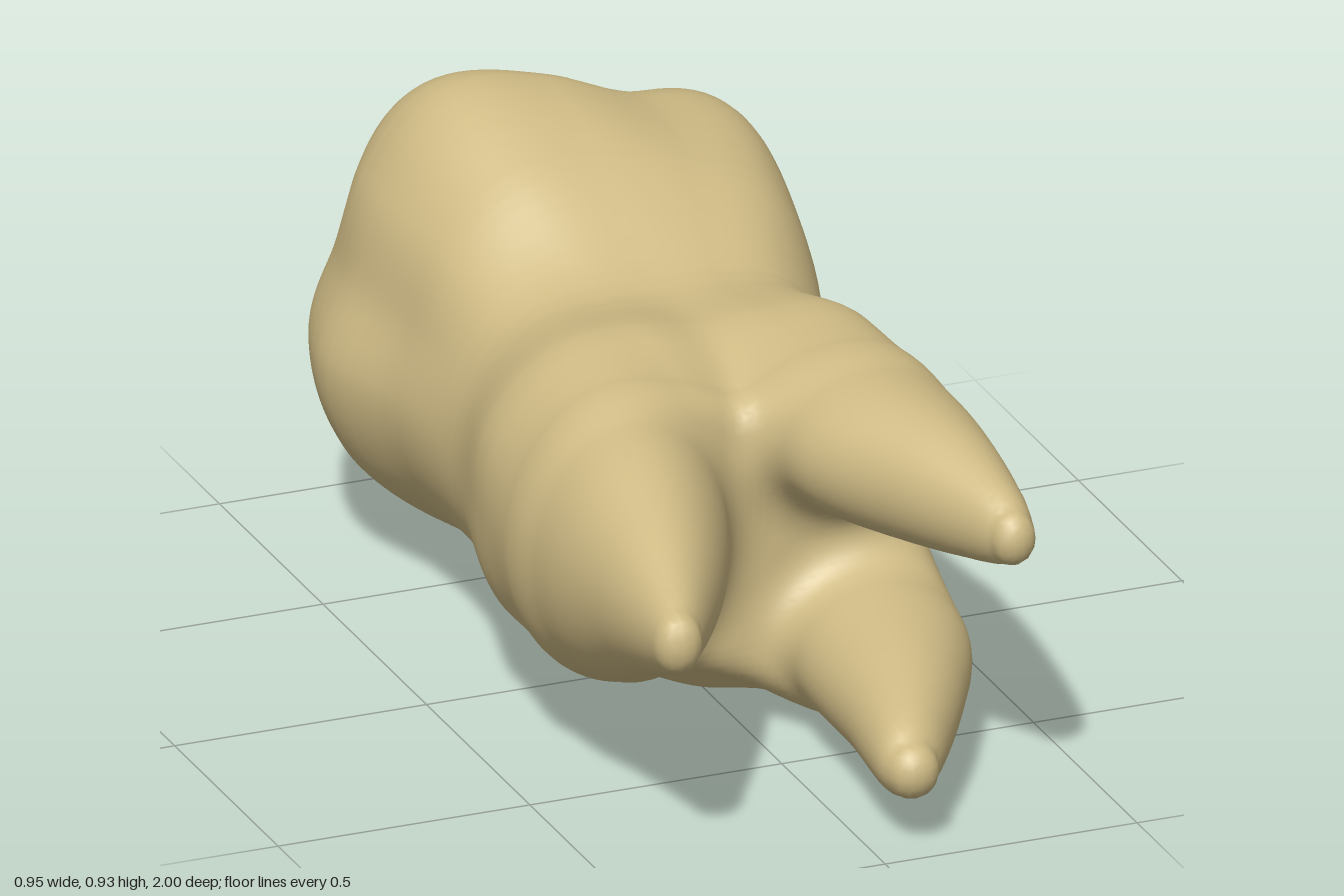
import * as THREE from 'three';

const CY = 0.42; // height of the long axis
const CELL = 0.02; // spacing of the sampling grid

// Smooth union and smooth intersection of two distances
function smoothMin(a, b, k) {
  const h = Math.max(k - Math.abs(a - b), 0) / k;
  return Math.min(a, b) - (h * h * k) / 4;
}
const smoothMax = (a, b, k) => -smoothMin(-a, -b, k);

// Catmull-Rom interpolation between four numbers
function spline(p0, p1, p2, p3, t) {
  const m1 = (p2 - p0) / 2, m2 = (p3 - p1) / 2, t2 = t * t, t3 = t2 * t;
  return (2 * t3 - 3 * t2 + 1) * p1 + (t3 - 2 * t2 + t) * m1 + (3 * t2 - 2 * t3) * p2 + (t3 - t2) * m2;
}

// Refine rows of numbers into smooth intermediate rows
function smoothRows(rows, steps = 8) {
  const out = [], row = (i) => rows[Math.min(rows.length - 1, Math.max(0, i))];
  for (let i = 0; i < rows.length - 1; i++) {
    for (let s = 0; s < steps; s++) {
      out.push(rows[i].map((v, k) => spline(row(i - 1)[k], v, row(i + 1)[k], row(i + 2)[k], s / steps)));
    }
  }
  out.push(rows[rows.length - 1]);
  return out;
}

// The two rows on either side of z, and the fraction between them
function bracket(rows, z) {
  let i = 0;
  while (i < rows.length - 2 && rows[i + 1][0] < z) i++;
  const t = (z - rows[i][0]) / (rows[i + 1][0] - rows[i][0]);
  return [rows[i], rows[i + 1], Math.min(1, Math.max(0, t))];
}

// Crown and trunk sections: z, then radii every 22.5 degrees starting at +x
const BODY = smoothRows([
  [-0.88, 0.435, 0.46, 0.475, 0.43, 0.455, 0.49, 0.44, 0.37, 0.375, 0.365, 0.365, 0.37, 0.395, 0.435, 0.46, 0.43],
  [-0.63, 0.467, 0.492, 0.53, 0.472, 0.5, 0.543, 0.49, 0.43, 0.455, 0.44, 0.41, 0.39, 0.405, 0.445, 0.475, 0.455],
  [-0.38, 0.425, 0.455, 0.48, 0.445, 0.445, 0.47, 0.45, 0.405, 0.41, 0.395, 0.375, 0.365, 0.375, 0.41, 0.435, 0.43],
  [-0.12, 0.36, 0.38, 0.37, 0.325, 0.305, 0.33, 0.38, 0.395, 0.4, 0.395, 0.375, 0.355, 0.355, 0.385, 0.41, 0.39],
  [0.13, 0.37, 0.4, 0.415, 0.34, 0.3, 0.355, 0.43, 0.463, 0.45, 0.445, 0.4, 0.38, 0.405, 0.425, 0.445, 0.415],
  [0.3, 0.34, 0.37, 0.39, 0.31, 0.25, 0.31, 0.405, 0.44, 0.44, 0.42, 0.37, 0.31, 0.33, 0.39, 0.41, 0.385],
]);

function bodyRadius(row, angle) {
  const n = row.length - 1, u = ((angle / (2 * Math.PI) + 1) % 1) * n, i = Math.floor(u);
  const r = (k) => row[1 + ((k + n) % n)];
  return spline(r(i - 1), r(i), r(i + 1), r(i + 2), u - i);
}

// Cusps of the chewing surface: x, y, height, spread
const CUSPS = [
  [-0.21, 0.76, 0.125, 0.17],
  [0.35, 0.63, 0.18, 0.15],
  [0.36, 0.42, 0.165, 0.11],
  [0.25, 0.19, 0.285, 0.18],
  [-0.27, 0.41, 0.235, 0.2],
  [-0.06, 0.14, 0.175, 0.14],
];
function chewingSurface(x, y) {
  let sum = 0;
  for (const [cx, cy, h, s] of CUSPS) {
    sum += (h * Math.exp(-((x - cx) ** 2 + (y - cy) ** 2) / (2 * s * s))) ** 4;
  }
  return -0.715 - Math.pow(sum, 0.25);
}

// Root stations: z, centre x, centre y, half width, half height
const ROOTS = [
  // right root
  [
    [0.08, -0.2, 0.45, 0.15, 0.19], [0.3, -0.25, 0.44, 0.207, 0.265], [0.5, -0.287, 0.455, 0.183, 0.24],
    [0.7, -0.325, 0.48, 0.13, 0.165], [0.88, -0.37, 0.49, 0.072, 0.095], [0.957, -0.395, 0.495, 0.046, 0.062],
  ],
  // upper left root
  [
    [0.08, 0.18, 0.53, 0.13, 0.12], [0.3, 0.2, 0.577, 0.175, 0.145], [0.5, 0.205, 0.595, 0.172, 0.14],
    [0.7, 0.237, 0.6, 0.12, 0.12], [0.88, 0.267, 0.595, 0.066, 0.08], [0.945, 0.275, 0.59, 0.043, 0.054],
  ],
  // lower left root
  [
    [0.08, 0.2, 0.21, 0.13, 0.15], [0.3, 0.222, 0.172, 0.165, 0.152], [0.5, 0.21, 0.17, 0.165, 0.135],
    [0.7, 0.16, 0.17, 0.122, 0.112], [0.88, 0.098, 0.162, 0.076, 0.082], [0.938, 0.078, 0.155, 0.051, 0.056],
  ],
].map((stations) => smoothRows(stations));

function bodyDistance(x, y, z) {
  const [a, b, t] = bracket(BODY, z), angle = Math.atan2(y - CY, x);
  const radius = THREE.MathUtils.lerp(bodyRadius(a, angle), bodyRadius(b, angle), t);
  const wall = Math.hypot(x, y - CY) - radius;
  const crown = smoothMax(wall, (chewingSurface(x, y) - z) * 0.8, 0.1);
  return smoothMax(crown, z - 0.36, 0.08);
}

// Elliptical sections ending in a rounded tip
function rootDistance(rows, x, y, z) {
  const [a, b, t] = bracket(rows, z);
  const [, cx, cy, rx, ry] = a.map((v, k) => THREE.MathUtils.lerp(v, b[k], t));
  const dx = x - cx + 1e-6, dy = y - cy, dz = Math.max(0, z - rows[rows.length - 1][0]);
  const q = Math.hypot(dx / rx, dy / ry, dz / rx);
  const side = (q * (q - 1)) / Math.hypot(dx / (rx * rx), dy / (ry * ry), dz / (rx * rx));
  return side + 2 * Math.max(0, rows[0][0] - z);
}

// Whole tooth: the roots melt into the trunk
function toothDistance(x, y, z) {
  return ROOTS.reduce((d, rows) => smoothMin(d, rootDistance(rows, x, y, z), 0.09), bodyDistance(x, y, z));
}

function gradient(p) {
  const e = 0.006, { x, y, z } = p;
  return new THREE.Vector3(
    toothDistance(x + e, y, z) - toothDistance(x - e, y, z),
    toothDistance(x, y + e, z) - toothDistance(x, y - e, z),
    toothDistance(x, y, z + e) - toothDistance(x, y, z - e),
  ).divideScalar(2 * e);
}

// Wrap the distance rule in a mesh: one vertex per crossed cell, one quad per crossed edge
function wrapSurface() {
  const min = [-0.55, -0.06, -1.08], size = [56, 54, 109];
  const stride = [1, size[0], size[0] * size[1]];
  const values = new Float32Array(size[0] * size[1] * size[2]);
  const point = (n, offset) => {
    const ijk = [n % size[0], Math.floor(n / stride[1]) % size[1], Math.floor(n / stride[2])];
    return new THREE.Vector3(...ijk.map((v, k) => min[k] + (v + offset) * CELL));
  };
  for (let n = 0; n < values.length; n++) {
    const p = point(n, 0);
    values[n] = toothDistance(p.x, p.y, p.z);
  }

  const pos = [], normals = [], index = [], vertexOf = new Map();
  const vertex = (cell) => {
    if (!vertexOf.has(cell)) {
      const p = point(cell, 0.5);
      for (let s = 0; s < 4; s++) { // slide onto the surface
        const g = gradient(p), d = toothDistance(p.x, p.y, p.z) / Math.max(g.lengthSq(), 0.2);
        p.addScaledVector(g, -THREE.MathUtils.clamp(d, -CELL, CELL));
      }
      vertexOf.set(cell, pos.length / 3);
      pos.push(p.x, p.y, p.z);
      normals.push(...gradient(p).normalize().toArray());
    }
    return vertexOf.get(cell);
  };
  for (let n = 0; n < values.length - stride[2]; n++) {
    for (let axis = 0; axis < 3; axis++) {
      const inside = values[n] < 0;
      if (inside === values[n + stride[axis]] < 0) continue;
      const u = stride[(axis + 1) % 3], v = stride[(axis + 2) % 3];
      const [a, b, c, d] = [n - u - v, n - v, n, n - u].map(vertex);
      if (inside) index.push(a, b, c, a, c, d);
      else index.push(a, c, b, a, d, c);
    }
  }
  const g = new THREE.BufferGeometry();
  g.setAttribute('position', new THREE.Float32BufferAttribute(pos, 3));
  g.setAttribute('normal', new THREE.Float32BufferAttribute(normals, 3));
  g.setIndex(index);
  return g;
}

export function createModel() {
  const ivory = new THREE.MeshStandardMaterial({ color: 0xcfbb85 });
  ivory.name = 'ivory';
  const tooth = new THREE.Group();
  tooth.name = 'molarTooth';
  const shell = new THREE.Mesh(wrapSurface(), ivory);
  shell.name = 'crownAndRoots';
  tooth.add(shell);
  return tooth;
}
